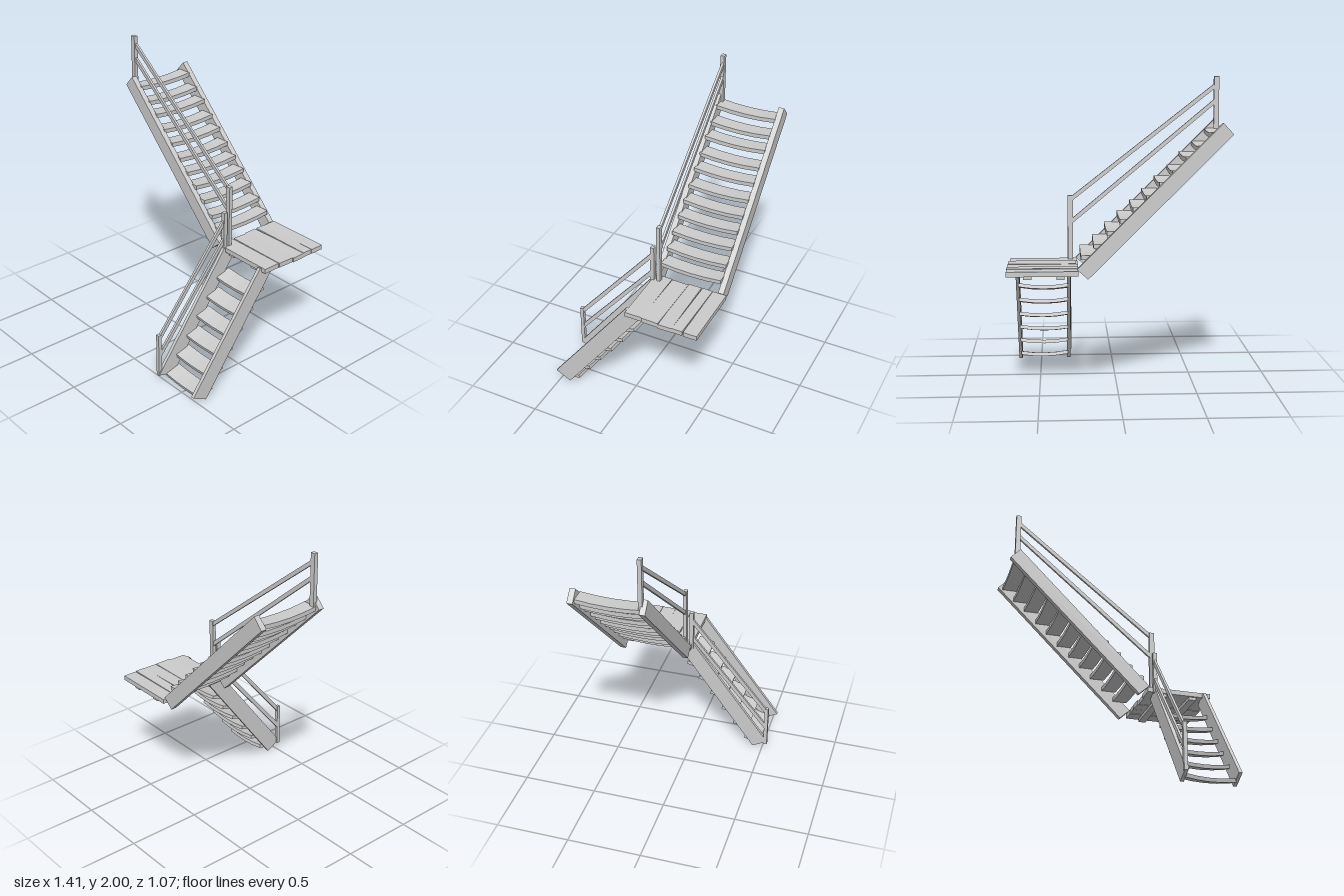
import * as THREE from 'three';

const material = new THREE.MeshStandardMaterial({ color: 0xcccccc, flatShading: true });

function add(group, name, geometry) {
  const mesh = new THREE.Mesh(geometry, material);
  mesh.name = name;
  group.add(mesh);
  return mesh;
}

// Axis-aligned block given by its limits
function block(group, name, [x0, x1], [y0, y1], [z0, z1]) {
  const mesh = add(group, name, new THREE.BoxGeometry(x1 - x0, y1 - y0, z1 - z0));
  mesh.position.set((x0 + x1) / 2, (y0 + y1) / 2, (z0 + z1) / 2);
  return mesh;
}

// Square-cut bar between two points
function bar(group, name, a, b, width, height) {
  const p = new THREE.Vector3(...a), q = new THREE.Vector3(...b);
  const mesh = add(group, name, new THREE.BoxGeometry(width, height, p.distanceTo(q)));
  mesh.position.copy(p).add(q).multiplyScalar(0.5);
  mesh.lookAt(q);
  return mesh;
}

// Side board of a flight, cut from a four-cornered outline
function stringer(group, corners, thickness) {
  const shape = new THREE.Shape(corners.map(([u, v]) => new THREE.Vector2(u, v)));
  return add(group, 'stringer', new THREE.ExtrudeGeometry(shape, { depth: thickness, bevelEnabled: false }));
}

// Worn tread, lying along x and sagging in the middle
function treadGeometry(length, thickness, depth, sag) {
  const geometry = new THREE.BoxGeometry(length, thickness, depth, 4, 1, 1);
  const pos = geometry.attributes.position;
  for (let i = 0; i < pos.count; i++) {
    const t = pos.getX(i) / (length / 2);
    pos.setY(i, pos.getY(i) - sag * (1 - t * t));
  }
  geometry.computeVertexNormals();
  return geometry;
}

function upperFlight() {
  const g = new THREE.Group();
  g.name = 'upperFlight';
  const outline = [[-0.71, 1.65], [0.19, 0.752], [0.26, 0.815], [-0.645, 1.72]];
  for (const z of [-0.52, -0.068]) stringer(g, outline, 0.038).position.z = z;

  // Treads, unevenly spaced
  const geometry = treadGeometry(0.425, 0.028, 0.1, 0.014);
  const offsets = [0, -0.006, 0.004, -0.005, 0, -0.006, -0.003, 0.003, 0.004, 0, 0.006];
  offsets.forEach((dy, i) => {
    const tread = add(g, 'tread', geometry);
    tread.position.set(-0.63 + i * 0.0815, 1.65 - i * 0.0772 + dy, -0.273);
    tread.rotation.y = Math.PI / 2 + (i % 3 - 1) * 0.008;
  });

  // Handrail
  block(g, 'railPost', [-0.676, -0.643], [1.66, 2], [-0.083, -0.056]);
  block(g, 'railPost', [0.278, 0.312], [0.79, 1.23], [-0.09, -0.065]);
  bar(g, 'rail', [-0.65, 1.94, -0.073], [0.29, 1.205, -0.08], 0.016, 0.026);
  bar(g, 'rail', [-0.65, 1.84, -0.073], [0.29, 1.055, -0.08], 0.016, 0.026);
  return g;
}

function lowerFlight() {
  const g = new THREE.Group();
  g.name = 'lowerFlight';
  const outline = [[0.535, 0.06], [-0.02, 0.805], [-0.12, 0.757], [0.43, 0.004]];
  for (const x of [0.318, 0.658]) {
    const side = stringer(g, outline, 0.023);
    side.rotation.y = -Math.PI / 2;
    side.position.x = x;
  }

  // Treads, tipped slightly forward
  const geometry = treadGeometry(0.33, 0.024, 0.115, 0.014);
  for (let i = 0; i < 6; i++) {
    const tread = add(g, 'tread', geometry);
    tread.position.set(0.477, 0.045 + i * 0.1145, 0.42 - i * 0.087);
    tread.rotation.set(0.25, 0, (i % 3 - 1) * 0.01);
  }

  // Handrail
  block(g, 'railPost', [0.286, 0.311], [0.045, 0.355], [0.51, 0.535]);
  block(g, 'railPost', [0.287, 0.314], [0.77, 1.06], [-0.048, -0.02]);
  bar(g, 'rail', [0.298, 0.325, 0.522], [0.3, 1.0, -0.033], 0.016, 0.027);
  bar(g, 'rail', [0.298, 0.19, 0.522], [0.3, 0.865, -0.033], 0.016, 0.027);
  return g;
}

function landing() {
  const g = new THREE.Group();
  g.name = 'landing';
  // Deck planks: x range, z range, slight twist
  const planks = [
    [[0.252, 0.7], [-0.538, -0.444], 0.004],
    [[0.253, 0.701], [-0.44, -0.369], -0.006],
    [[0.25, 0.702], [-0.364, -0.27], 0.012],
    [[0.262, 0.698], [-0.271, -0.154], -0.01],
    [[0.252, 0.69], [-0.151, -0.032], 0.004],
  ];
  planks.forEach(([x, z, twist], i) => {
    const lift = (i % 2) * 0.003;
    const plank = block(g, 'deckPlank', x, [0.775 + lift, 0.807 + lift], z);
    plank.rotation.set(twist, twist, 0);
  });
  // Battens under the deck
  for (const x of [0.337, 0.543]) block(g, 'batten', [x, x + 0.05], [0.754, 0.778], [-0.525, -0.045]);
  return g;
}

export function createModel() {
  const model = new THREE.Group();
  model.name = 'staircase';
  model.add(upperFlight(), landing(), lowerFlight());
  return model;
}
